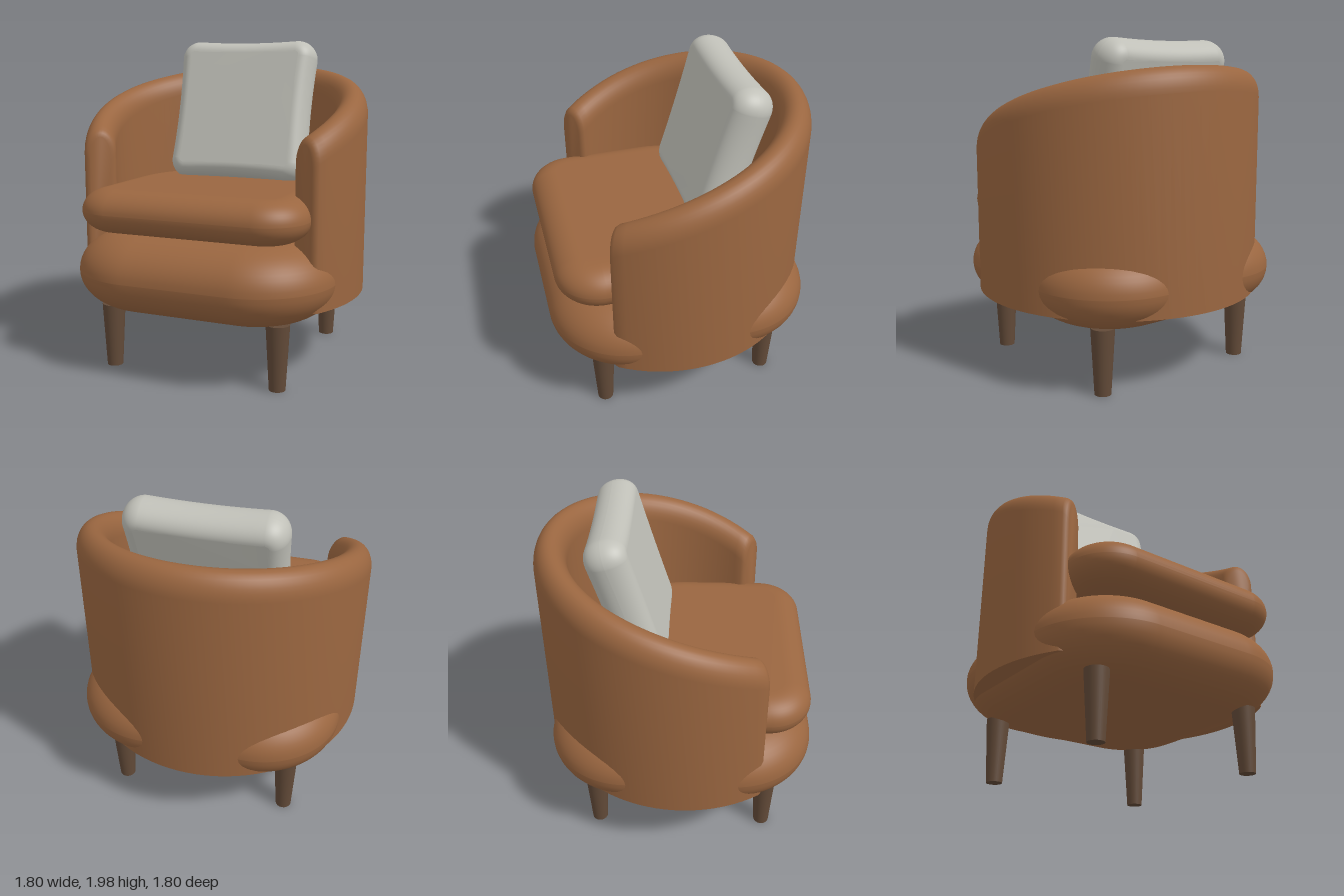
import * as THREE from 'three';
import { mergeVertices, toCreasedNormals } from 'three/addons/utils/BufferGeometryUtils.js';

const leather = new THREE.MeshStandardMaterial({ name: 'brown leather', color: 0x9a6640 });
const fabric = new THREE.MeshStandardMaterial({ name: 'grey fabric', color: 0xc0c0b8 });
const wood = new THREE.MeshStandardMaterial({ name: 'dark wood', color: 0x624a38 });
const DEG = Math.PI / 180;

// Rounded square outline whose sides may dip inwards
function roundedSquare(h, r, dip = 0) {
  const s = new THREE.Shape();
  const k = h - r;
  s.moveTo(-k, -h);
  s.quadraticCurveTo(0, -h + 2 * dip, k, -h);
  s.absarc(k, -k, r, -Math.PI / 2, 0);
  s.quadraticCurveTo(h - 2 * dip, 0, h, k);
  s.absarc(k, k, r, 0, Math.PI / 2);
  s.quadraticCurveTo(0, h - 2 * dip, -k, h);
  s.absarc(-k, k, r, Math.PI / 2, Math.PI);
  s.quadraticCurveTo(-h + 2 * dip, 0, -h, -k);
  s.absarc(-k, -k, r, Math.PI, 1.5 * Math.PI);
  return s;
}

// Padded slab: the outline swells by `bulge` towards its middle layer
function padded(shape, halfThickness, bulge) {
  const g = new THREE.ExtrudeGeometry(shape, {
    depth: 0.002, bevelThickness: halfThickness, bevelSize: bulge, bevelSegments: 12, curveSegments: 16,
  });
  g.translate(0, 0, -0.001);
  g.deleteAttribute('uv');
  g.deleteAttribute('normal');
  const smooth = mergeVertices(g, 1e-4);
  smooth.computeVertexNormals();
  return smooth;
}

// Wraparound back and arms, swept from a round-topped wall section
function shellGeometry() {
  const outer = 0.875, inner = 0.685, bottom = 0.46, start = 56, steps = 64;
  const rows = [[start, 0.03], [start + 0.6, 0.01], [start + 2, 0]];
  for (let i = 1; i < steps; i++) rows.push([start + 2 + (i / steps) * (356 - 2 * start), 0]);
  rows.push([358 - start, 0], [359.4 - start, 0.01], [360 - start, 0.03]);

  const section = ([deg, inset]) => {
    const t = 1 - Math.abs(deg - 180) / (180 - start);
    const top = 1.43 + 0.4 * t * (2 - t) - inset;
    const mid = (outer + inner) / 2, half = (outer - inner) / 2 - inset, round = 0.14;
    const profile = [[mid + half, bottom]];
    for (let j = 0; j <= 16; j++) {
      const a = (j / 16) * Math.PI;
      profile.push([mid + half * Math.cos(a), top - round + round * Math.sin(a)]);
    }
    profile.push([mid - half, bottom]);
    return profile.map(([r, y]) => [r * Math.sin(deg * DEG), y, r * Math.cos(deg * DEG)]);
  };

  const rings = rows.map(section), n = rings[0].length, index = [];
  for (let i = 0; i < rings.length - 1; i++) {
    for (let j = 0; j < n; j++) {
      const a = i * n + j, b = i * n + (j + 1) % n;
      index.push(a, a + n, b, b, a + n, b + n);
    }
  }
  // End caps of the arms
  const last = (rings.length - 1) * n;
  for (let j = 1; j < n - 1; j++) {
    index.push(0, j, j + 1);
    index.push(last, last + j + 1, last + j);
  }
  const g = new THREE.BufferGeometry();
  g.setAttribute('position', new THREE.Float32BufferAttribute(rings.flat(2), 3));
  g.setIndex(index);
  return toCreasedNormals(g, 50 * DEG);
}

// Seat outline: rounded front corners, round back hidden in the shell (shape -y is the front)
function seatOutline() {
  const w = 0.54, front = 0.61, r = 0.1;
  const s = new THREE.Shape();
  s.moveTo(-w + r, -front);
  s.lineTo(w - r, -front);
  s.absarc(w - r, -front + r, r, -Math.PI / 2, 0);
  s.lineTo(w, 0);
  s.absarc(0, 0, w, 0, Math.PI);
  s.lineTo(-w, -front + r);
  s.absarc(-w + r, -front + r, r, Math.PI, 1.5 * Math.PI);
  return s;
}

export function createModel() {
  const model = new THREE.Group();
  model.name = 'armchair';
  const chair = new THREE.Group();
  chair.name = 'turnedChair';
  chair.rotation.y = 20 * DEG;
  model.add(chair);

  const add = (name, geometry, material, x, y, z) => {
    const mesh = new THREE.Mesh(geometry, material);
    mesh.name = name;
    mesh.position.set(x, y, z);
    chair.add(mesh);
    return mesh;
  };

  // Upholstered base
  add('base', padded(roundedSquare(0.51, 0.19), 0.232, 0.3).rotateX(-Math.PI / 2), leather, 0, 0.598, 0);

  // Backrest and arms
  add('backShell', shellGeometry(), leather, 0, 0, 0.015);

  // Seat cushion
  add('seatCushion', padded(seatOutline(), 0.127, 0.16).rotateX(-Math.PI / 2), leather, 0, 0.982, 0);

  // Leaning back pillow
  const pillow = add('pillow', padded(roundedSquare(0.375, 0.03, 0.012), 0.12, 0.09), fabric, 0, 1.53, -0.3);
  pillow.rotation.x = -16 * DEG;

  // Tapered legs
  const leg = new THREE.CylinderGeometry(0.07, 0.048, 0.39, 32);
  for (const [side, sx] of [['Left', 1], ['Right', -1]]) {
    for (const [end, sz] of [['front', 1], ['back', -1]]) {
      add(end + side + 'Leg', leg, wood, sx * 0.53, 0.195, sz * 0.53);
    }
  }
  return model;
}
